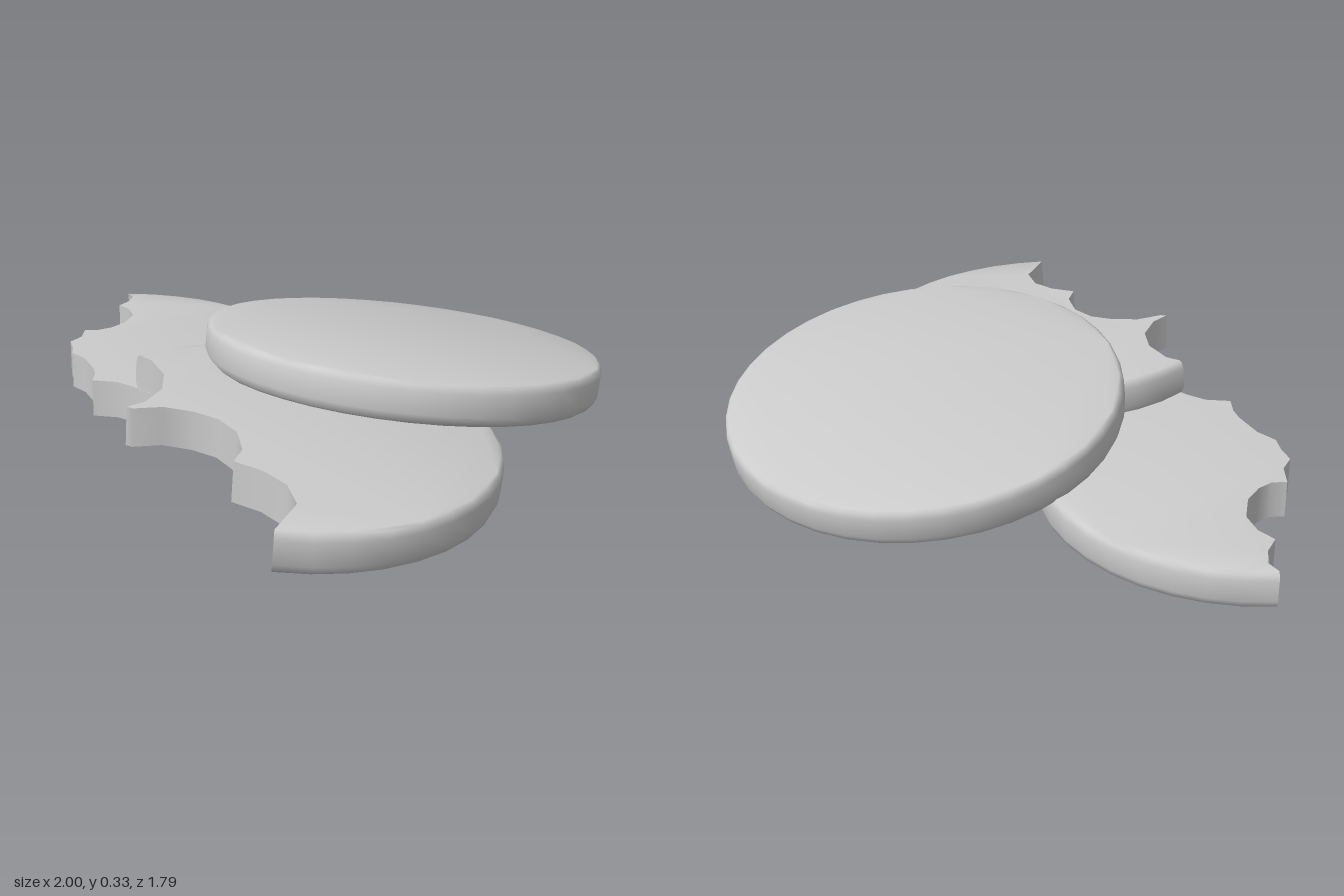
import * as THREE from 'three';
import { toCreasedNormals } from 'three/addons/utils/BufferGeometryUtils.js';

const THICK = 0.12;
// side profile from bottom to top: [height, inward scale of the round rim]
const RIM = [[0, 0.968], [0.008, 0.985], [0.03, 1], [0.095, 1], [0.113, 0.992], [THICK, 0.978]];

// A thick disc in the ground plane. Angles a0..a1 (degrees) keep the round rim,
// the bite points [x, z] close the outline with a sharp broken edge.
function cookie(name, { centre, rx, rz, a0, a1, bites = [], y, tilt = [0, 0] }) {
  const [cx, cz] = centre;
  const full = a1 - a0 >= 360;
  const n = Math.round((a1 - a0) / 9);
  const points = [];
  for (let i = 0; i < (full ? n : n + 1); i++) {
    const a = THREE.MathUtils.degToRad(a0 + (a1 - a0) * i / n);
    points.push(new THREE.Vector2(rx * Math.cos(a), rz * Math.sin(a)));
  }
  for (const [x, z] of bites) points.push(new THREE.Vector2(x - cx, z - cz));

  const steps = RIM.length - 1;
  const geo = new THREE.ExtrudeGeometry(new THREE.Shape(points), { depth: steps, steps, bevelEnabled: false });
  geo.rotateX(Math.PI / 2).translate(0, steps, 0);

  // move each layer to its height and round off the rim, leaving the bites straight
  const pos = geo.attributes.position;
  for (let i = 0; i < pos.count; i++) {
    const [h, scale] = RIM[Math.round(pos.getY(i))];
    const x = pos.getX(i), z = pos.getZ(i);
    const s = Math.hypot(x / rx, z / rz) > 0.99 ? scale : 1;
    pos.setXYZ(i, x * s, h - THICK / 2, z * s);
  }
  const mesh = new THREE.Mesh(
    toCreasedNormals(geo, THREE.MathUtils.degToRad(50)),
    new THREE.MeshStandardMaterial({ color: 0xcccccc })
  );
  mesh.name = name;
  mesh.position.set(cx, y, cz);
  mesh.rotation.set(tilt[0], 0, tilt[1]);
  return mesh;
}

export function createModel() {
  const group = new THREE.Group();
  group.name = 'cookies';

  // whole cookie leaning on the two bitten ones
  group.add(cookie('wholeCookie', {
    centre: [0.3, -0.285], rx: 0.63, rz: 0.612, a0: 0, a1: 360, y: 0.188, tilt: [-0.143, 0],
  }));

  // bitten cookie lying flat at the bottom
  group.add(cookie('lowerBittenCookie', {
    centre: [-0.6, 0.12], rx: 0.62, rz: 0.62, a0: -130, a1: 20, y: 0.069, tilt: [0, -0.012],
    bites: [
      [-0.09, 0.365], [-0.18, 0.355], [-0.27, 0.345], [-0.34, 0.35], [-0.41, 0.39],
      [-0.45, 0.34], [-0.49, 0.31], [-0.58, 0.265], [-0.65, 0.255], [-0.69, 0.215], [-0.74, 0.18],
      [-0.75, 0.12], [-0.795, 0.06],
      [-0.76, 0.03], [-0.745, -0.02], [-0.75, -0.09], [-0.79, -0.17], [-0.85, -0.21], [-0.91, -0.22],
      [-0.92, -0.28], [-0.95, -0.33],
    ],
  }));

  // bitten cookie resting on the lower one
  group.add(cookie('frontBittenCookie', {
    centre: [0.37, 0.41], rx: 0.63, rz: 0.593, a0: -174, a1: 54, y: 0.127, tilt: [0, -0.083],
    bites: [
      [0.69, 0.74], [0.61, 0.68], [0.52, 0.665], [0.43, 0.68],
      [0.4, 0.61], [0.32, 0.54], [0.23, 0.515], [0.15, 0.53], [0.07, 0.57], [0.02, 0.64], [0, 0.645],
      [0.01, 0.58], [-0.02, 0.48], [-0.09, 0.4], [-0.19, 0.35],
    ],
  }));
  return group;
}
